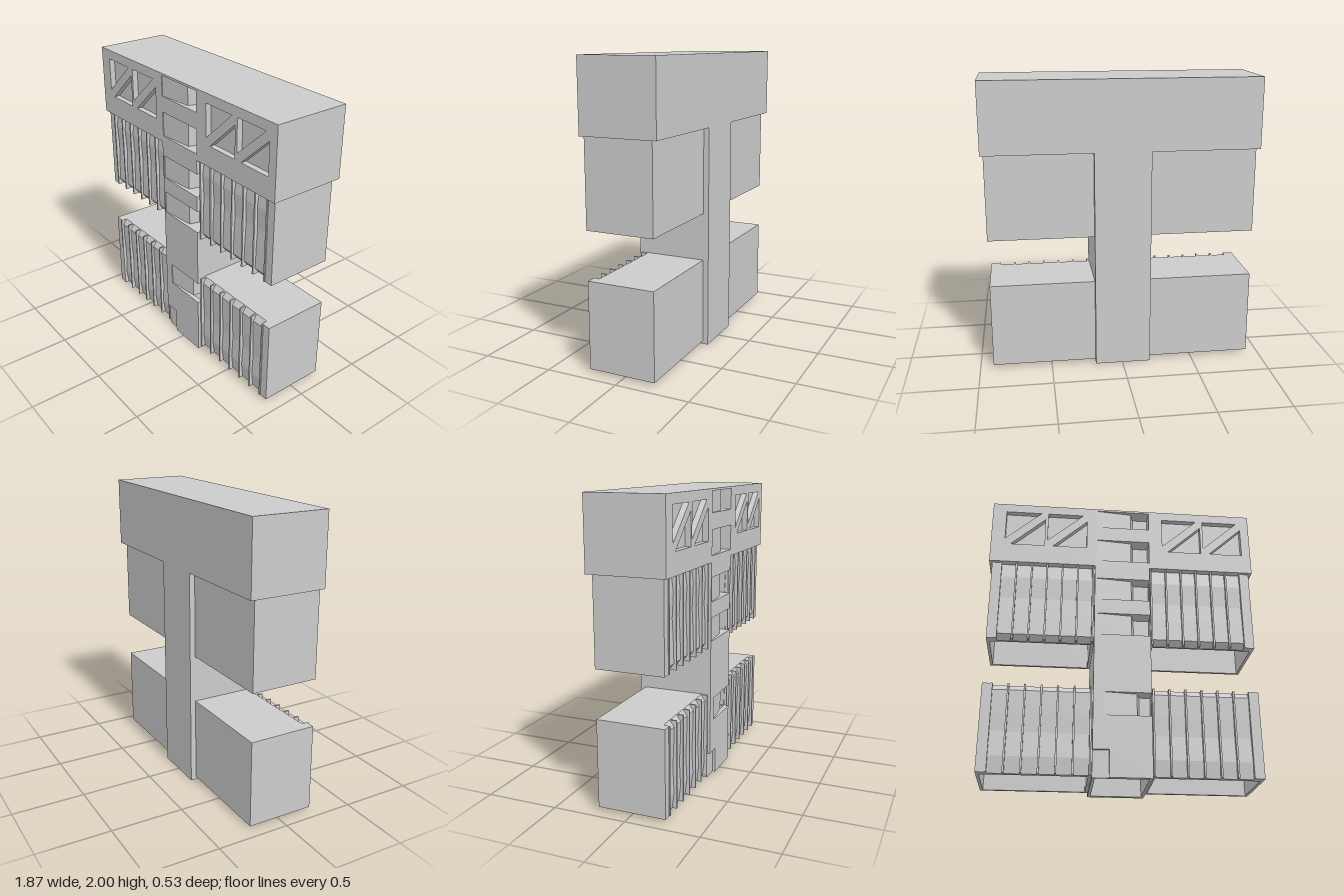
import * as THREE from 'three';

const material = new THREE.MeshStandardMaterial({ color: 0xcccccc, flatShading: true });
const CORE = 0.1925; // half width of the tower
const Z = 0.263;     // half depth of the tower and top block

function add(parent, name, geometry) {
  const mesh = new THREE.Mesh(geometry, material);
  mesh.name = name;
  parent.add(mesh);
  return mesh;
}

// Box given by its two extreme corners
function box(parent, name, x0, x1, y0, y1, z0, z1) {
  const g = new THREE.BoxGeometry(x1 - x0, y1 - y0, z1 - z0);
  g.translate((x0 + x1) / 2, (y0 + y1) / 2, (z0 + z1) / 2);
  return add(parent, name, g);
}

const polygon = (pts) => new THREE.Shape(pts.map(([x, y]) => new THREE.Vector2(x, y)));
const extrude = (shape, depth) => new THREE.ExtrudeGeometry(shape, { depth, bevelEnabled: false });

// Horizontal slice of the tower from a plan of [x, z] points
function slice(parent, name, plan, y0, y1, hollow) {
  const shape = polygon(plan.map(([x, z]) => [x, -z]));
  if (hollow) {
    const a = CORE - 0.02, b = Z - 0.035;
    shape.holes.push(polygon([[-a, -b], [a, -b], [a, b], [-a, b]]));
  }
  const g = extrude(shape, y1 - y0);
  g.rotateX(-Math.PI / 2);
  g.translate(0, y0, 0);
  add(parent, name, g);
}

function createTower() {
  const tower = new THREE.Group();
  tower.name = 'tower';
  const back = [[-CORE, -Z], [CORE, -Z]];
  const full = [...back, [CORE, Z], [-CORE, Z]];
  const door = [...back, [CORE, Z], [-0.085, Z], [-0.085, Z - 0.02], [-CORE, Z - 0.02]];
  // slanted panel that ends in a deeper slot at the +x side
  const niche = (start, step) => [...back, [CORE, Z - 0.1], [step + 0.02, Z - 0.1],
    [step, Z - 0.03], [start, Z - 0.005], [start, Z], [-CORE, Z]];
  const high = niche(-0.18, 0.065);
  const low = niche(-0.125, 0.098);

  slice(tower, 'entranceStorey', door, 0, 0.18, true);
  slice(tower, 'lowerShaft', full, 0.18, 0.41, true);
  slice(tower, 'lowerNiche', low, 0.41, 0.57);
  slice(tower, 'middleShaft', full, 0.57, 0.985);
  const levels = [0.985, 1.145, 1.255, 1.42, 1.565, 1.735, 1.845, 1.985, 2];
  for (let i = 0; i < levels.length - 1; i++) {
    const open = i % 2 === 0;
    slice(tower, open ? 'towerNiche' : 'towerBand', open ? high : full, levels[i], levels[i + 1]);
  }
  return tower;
}

// Half of the top block, side = -1 or 1, with triangular recesses
function createTopBlock(side) {
  const block = new THREE.Group();
  block.name = side > 0 ? 'leftTopBlock' : 'rightTopBlock';
  const inner = side * CORE, outer = side * 0.9325;
  const x0 = Math.min(inner, outer), x1 = Math.max(inner, outer);
  box(block, 'topBlockBody', x0, x1, 1.52, 2, -Z, Z - 0.04);
  const front = polygon([[x0, 1.52], [x1, 1.52], [x1, 2], [x0, 2]]);
  const start = side > 0 ? 0.29 : -0.835;
  for (const x of [start, start + 0.3]) {
    front.holes.push(polygon([[x, 1.935], [x + 0.25, 1.935], [x, 1.71]]));
    front.holes.push(polygon([[x + 0.04, 1.665], [x + 0.28, 1.665], [x + 0.28, 1.885]]));
  }
  const g = extrude(front, 0.04);
  g.translate(0, 0, Z - 0.04);
  add(block, 'topBlockFront', g);
  return block;
}

// Facade section as [y, z] points, bottom to top
const facade = [[0.02, 0.215], [0.13, 0.228], [0.29, 0.22], [0.415, 0.226], [0.57, 0.23], [0.61, 0.2]];

// Wing on the +x side, hollow and open below
function createWing(name, y0, y1, section) {
  const wing = new THREE.Group();
  wing.name = name;
  const x0 = CORE, x1 = 0.9125, zb = -0.225, zf = 0.24, t = 0.02;
  box(wing, 'backWall', x0, x1, y0, y1, zb, zb + t);
  box(wing, 'endWall', x1 - t, x1, y0, y1, zb, zf);
  box(wing, 'innerWall', x0, x0 + t, y0, y1, zb, 0.2);
  box(wing, 'roof', x0, x1, y1 - t, y1, zb, 0.2);
  box(wing, 'cornerPier', 0.848, x1, y0, y1, 0.18, zf);

  // folded facade panel behind the fins
  const outline = [...section.map(([y, z]) => [z, y]), [0.185, y1], [0.185, y0]];
  const panel = extrude(polygon(outline), 0.85 - x0);
  panel.rotateY(-Math.PI / 2);
  panel.translate(0.85, 0, 0);
  add(wing, 'facadePanel', panel);

  // vertical fins
  for (let i = 0; i < 7; i++) {
    const x = 0.205 + i * 0.1075;
    box(wing, 'fin', x - 0.006, x + 0.006, y0, y1, 0.185, 0.246);
  }
  // staggered boxes on the inside of the facade
  for (let row = 0; row < 2; row++) {
    for (let i = 0; i < 3; i++) {
      const x = 0.215 + (2 * i + row) * 0.1075, y = y0 + 0.06 + row * 0.15;
      box(wing, 'innerBox', x, x + 0.09, y, y + 0.13, 0.11, 0.19);
    }
  }
  return wing;
}

export function createModel() {
  const model = new THREE.Group();
  model.name = 'building';
  const body = new THREE.Group();
  body.name = 'body';
  body.add(createTower());

  // the upper facade is the lower one turned upside down
  const upper = facade.map(([y, z]) => [1.545 - y, z]).reverse();
  for (const side of [-1, 1]) {
    body.add(createTopBlock(side));
    const wings = new THREE.Group();
    wings.name = side > 0 ? 'leftWings' : 'rightWings';
    wings.add(createWing('lowerWing', 0.02, 0.61, facade));
    wings.add(createWing('upperWing', 0.935, 1.525, upper));
    wings.scale.x = side;
    body.add(wings);
  }
  body.position.x = -0.004;
  model.add(body);
  return model;
}
